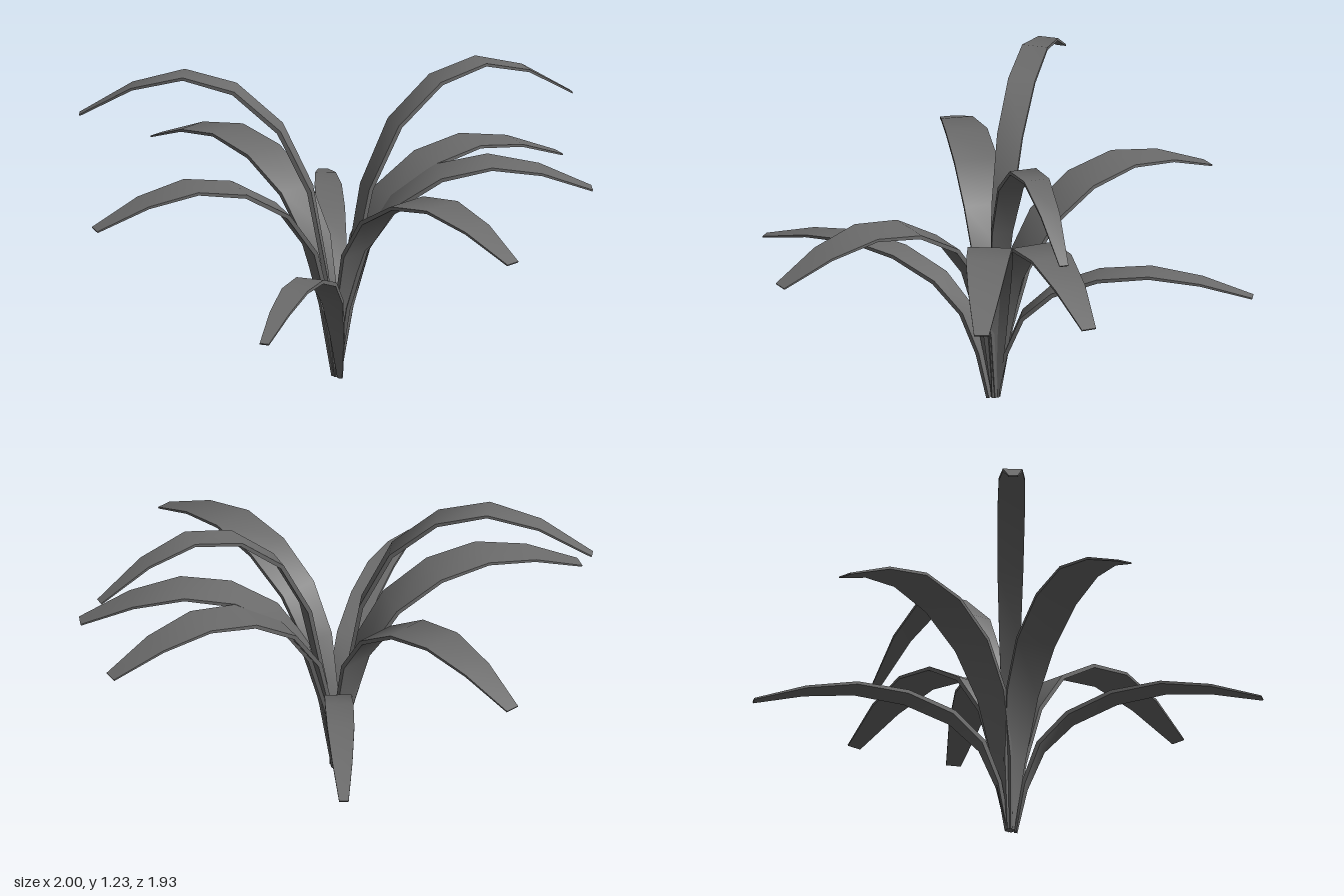
import * as THREE from 'three';
import { toCreasedNormals } from 'three/addons/utils/BufferGeometryUtils.js';

// Arching midrib as [distance from root, height, half width, thickness]
const PROFILE = [
  [0, 0, 0.015, 0.012], [0.035, 0.29, 0.045, 0.015], [0.1, 0.54, 0.067, 0.017],
  [0.22, 0.715, 0.081, 0.017], [0.4, 0.825, 0.086, 0.015], [0.6, 0.86, 0.082, 0.012],
  [0.8, 0.82, 0.062, 0.01], [1, 0.732, 0.029, 0.006],
];

// Thin solid blade following the midrib along +x, four corners per cross-section
function leafGeometry(length, rise, width) {
  const position = [], index = [];
  const rib = PROFILE.map(([r, y]) => new THREE.Vector2(r * length, y * rise));
  const last = rib.length - 1;
  rib.forEach((p, i) => {
    const w = PROFILE[i][2] * width;
    const along = rib[Math.min(i + 1, last)].clone().sub(rib[Math.max(i - 1, 0)]).normalize();
    const x = p.x + along.y * PROFILE[i][3], y = p.y - along.x * PROFILE[i][3];
    position.push(p.x, p.y, -w, p.x, p.y, w, x, y, w, x, y, -w);
    if (i === last) return;
    for (let k = 0; k < 4; k++) {
      const a = 4 * i + k, b = 4 * i + (k + 1) % 4;
      index.push(a, b, a + 4, b, b + 4, a + 4);
    }
  });
  // Root and tip ends
  const t = 4 * last;
  index.push(0, 2, 1, 0, 3, 2, t, t + 1, t + 2, t, t + 2, t + 3);
  const geometry = new THREE.BufferGeometry();
  geometry.setAttribute('position', new THREE.Float32BufferAttribute(position, 3));
  geometry.setIndex(index);
  return toCreasedNormals(geometry, 0.9);
}

export function createModel() {
  const plant = new THREE.Group();
  plant.name = 'plant';
  const material = new THREE.MeshStandardMaterial({ color: 0x6c6c6c });
  const rootZ = 0.025;

  // Each leaf: tip x, tip z, then optional root x and upward tilt
  const kinds = [
    { name: 'middleLeaf', rise: 1, width: 1,
      tips: [[1, 0.02], [-1, 0.05], [-0.38, 0.95], [0.21, -0.96], [0.59, -0.78]] },
    { name: 'tallLeaf', rise: 1.42, width: 0.62,
      tips: [[-0.75, 0.7, 0, 0.01], [0.3, -0.91, 0.01, -0.022]] },
    { name: 'lowLeaf', rise: 0.66, width: 0.64,
      tips: [[0.51, 0.88, 0.025], [-0.77, -0.62]] },
  ];

  for (const { name, rise, width, tips } of kinds) {
    tips.forEach(([x, z, rootX = 0, tilt = 0], i) => {
      const dx = x - rootX, dz = z - rootZ;
      const leaf = new THREE.Mesh(leafGeometry(Math.hypot(dx, dz), rise, width), material);
      leaf.name = name + (i + 1);
      leaf.position.set(rootX, 0, rootZ);
      leaf.rotation.set(0, Math.atan2(-dz, dx), tilt);
      plant.add(leaf);
    });
  }
  return plant;
}
